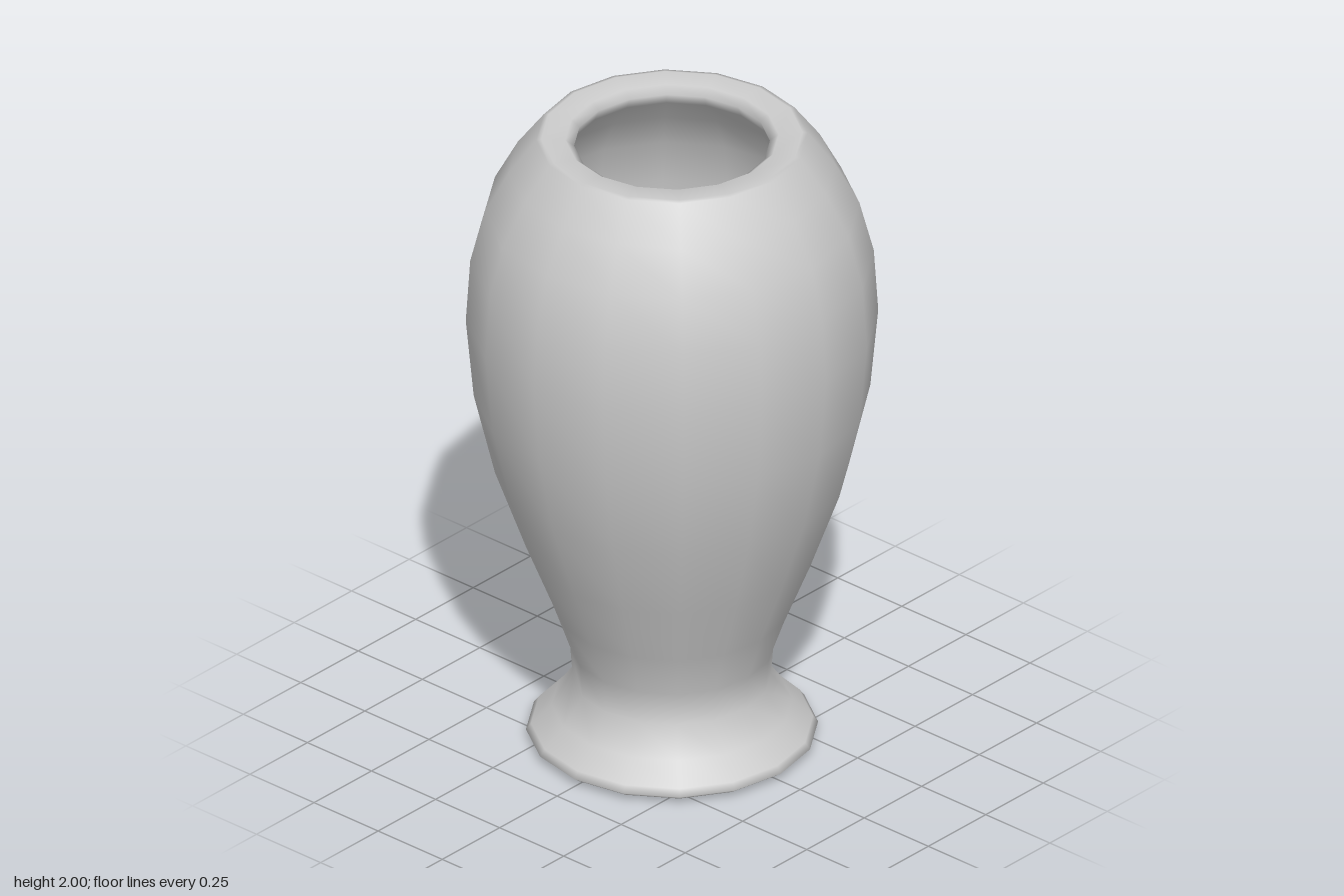
import * as THREE from 'three';

const SIDES = 16;

// Outer skin, from the centre of the underside up to the lip
const outer = [
  [0, 0.005], [0.36, 0.008], [0.405, 0.015], [0.425, 0.03],
  [0.41, 0.05], [0.35, 0.11], [0.288, 0.195],
  [0.296, 0.3], [0.345, 0.44], [0.425, 0.64], [0.515, 0.89],
  [0.577, 1.15], [0.6, 1.4], [0.587, 1.6], [0.545, 1.76],
  [0.475, 1.89], [0.395, 1.997],
];

// Lip and hollow, from the rim down to the centre of the floor
const inner = [
  [0.38, 2], [0.31, 1.995], [0.285, 1.975], [0.3, 1.94],
  [0.39, 1.84], [0.455, 1.72], [0.495, 1.57], [0.505, 1.4],
  [0.485, 1.17], [0.425, 0.92], [0.335, 0.67], [0.255, 0.46],
  [0.21, 0.31], [0.2, 0.22], [0.23, 0.14], [0.2, 0.1], [0, 0.09],
];

export function createModel() {
  const group = new THREE.Group();
  group.name = 'vase';

  // One closed turned body: foot, waist, belly, lip and hollow
  const profile = [...outer, ...inner].map(([r, y]) => new THREE.Vector2(r, y));
  const body = new THREE.Mesh(
    new THREE.LatheGeometry(profile, SIDES),
    new THREE.MeshStandardMaterial({ color: 0xcccccc })
  );
  body.name = 'vaseBody';
  group.add(body);

  return group;
}
